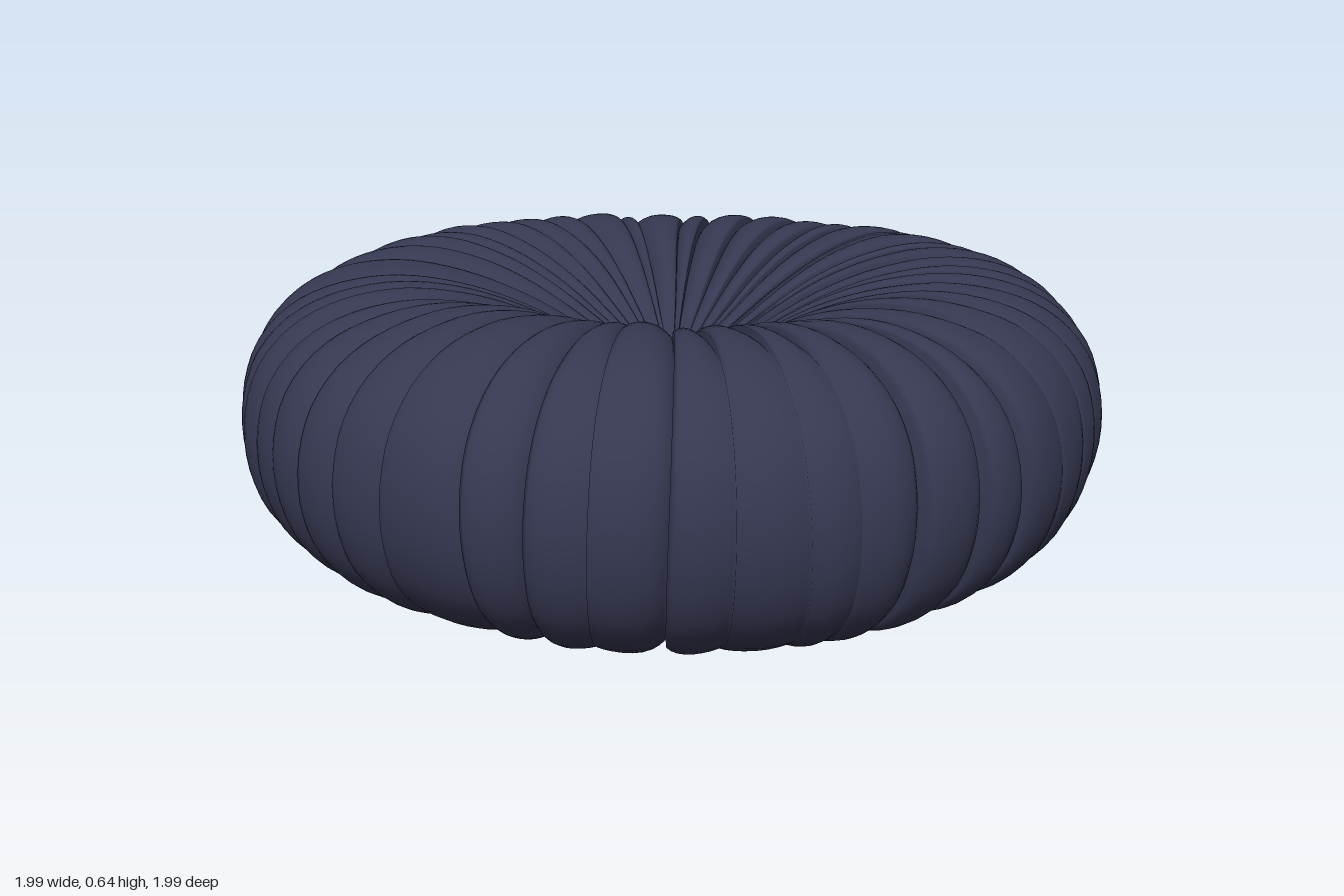
import * as THREE from 'three';

const MID = 0.322; // height of the cushion's equator
const ROWS = 72;

// small seeded generator for the irregular pleats
function seeded(seed) {
  return () => {
    seed = (seed * 16807) % 2147483647;
    return seed / 2147483647;
  };
}

// cross-section from the top tuft, around the rim, to the bottom tuft
function profileCurve() {
  const half = [
    [0.025, 0.04], [0.1, 0.092], [0.2, 0.155], [0.35, 0.235], [0.5, 0.285],
    [0.65, 0.303], [0.79, 0.28], [0.885, 0.23], [0.95, 0.155], [0.98, 0.07],
  ];
  const points = half.map(([r, h]) => new THREE.Vector3(r, h, 0));
  points.push(new THREE.Vector3(0.987, 0, 0));
  for (const [r, h] of [...half].reverse()) points.push(new THREE.Vector3(r, -h, 0));
  return new THREE.CatmullRomCurve3(points);
}

// irregular creases: angle, sideways drift, depth and how far they reach the rim
function makeCreases() {
  const rand = seeded(4711);
  const creases = [];
  const count = 46;
  for (let i = 0; i < count; i++) {
    creases.push({
      angle: ((i + 0.7 * (rand() - 0.5)) / count) * Math.PI * 2,
      drift: 0.035 * (rand() - 0.5),
      phase: rand() * 6.28,
      depth: 0.018 + 0.014 * rand(),
      rim: rand() < 0.6 ? 1 : 0.15,
      lip: 0.004 + 0.01 * rand(),
    });
  }
  return creases;
}

function cushionGeometry() {
  const curve = profileCurve();
  const creases = makeCreases();
  // columns across one pleat, packed close to its two creases
  const steps = [0, 0.04, 0.1, 0.2, 0.35, 0.5, 0.65, 0.8, 0.92, 1];
  const columns = creases.length * steps.length;
  const positions = [];
  const index = [];

  for (let j = 0; j <= ROWS; j++) {
    const s = j / ROWS;
    const p = curve.getPointAt(s);
    const t = curve.getTangentAt(s);
    const nr = -t.y, ny = t.x; // outward normal of the cross-section
    const fade = THREE.MathUtils.smoothstep(p.x, 0.0, 0.42);
    const outer = THREE.MathUtils.smoothstep(p.x, 0.5, 0.85);
    const angleOf = (c) => c.angle + c.drift * Math.sin(s * 9 + c.phase) * fade;
    const depthOf = (c) => c.depth * fade * THREE.MathUtils.lerp(1, c.rim, outer);

    creases.forEach((c, i) => {
      const last = i === creases.length - 1;
      const next = creases[(i + 1) % creases.length];
      const a0 = angleOf(c);
      const a1 = angleOf(next) + (last ? Math.PI * 2 : 0);
      for (const u of steps) {
        const a = a0 + (a1 - a0) * u;
        const arc = (a1 - a0) * p.x;
        // sharp valley after one crease, folded lip before the next
        const valley = depthOf(c) * Math.exp(-u * arc / 0.022) + 0.45 * depthOf(next) * Math.exp(-(1 - u) * arc / 0.012);
        const lip = next.lip * fade * THREE.MathUtils.lerp(1, next.rim, outer) * u * u;
        const puff = 0.007 * fade * Math.sin(Math.PI * u);
        const sag = 0.006 * fade * Math.sin(3 * a + 5 * s) + 0.002 * fade * Math.sin(11 * a + 17 * s);
        const d = puff + lip + sag - valley;
        const r = Math.max(0.012, p.x + nr * d);
        positions.push(r * Math.cos(a), MID + p.y + ny * d, r * Math.sin(a));
      }
    });
  }

  for (let j = 0; j < ROWS; j++) {
    for (let i = 0; i < columns; i++) {
      const k = (i + 1) % columns;
      const a = j * columns + i, b = j * columns + k;
      const c = a + columns, d = b + columns;
      index.push(a, b, c, b, d, c);
    }
  }

  const geometry = new THREE.BufferGeometry();
  geometry.setAttribute('position', new THREE.Float32BufferAttribute(positions, 3));
  geometry.setIndex(index);
  geometry.computeVertexNormals();
  return geometry;
}

export function createModel() {
  const group = new THREE.Group();
  group.name = 'roundCushion';
  const fabric = new THREE.MeshStandardMaterial({ color: 0x363852, side: THREE.DoubleSide });

  // pleated cover
  const cover = new THREE.Mesh(cushionGeometry(), fabric);
  cover.name = 'pleatedCover';
  group.add(cover);

  // covered tuft buttons, top and bottom
  const buttonGeometry = new THREE.SphereGeometry(0.05, 28, 16);
  buttonGeometry.scale(1, 0.5, 1);
  for (const side of [1, -1]) {
    const button = new THREE.Mesh(buttonGeometry, fabric);
    button.name = side > 0 ? 'topButton' : 'bottomButton';
    button.position.y = MID + side * 0.068;
    group.add(button);
  }
  return group;
}
